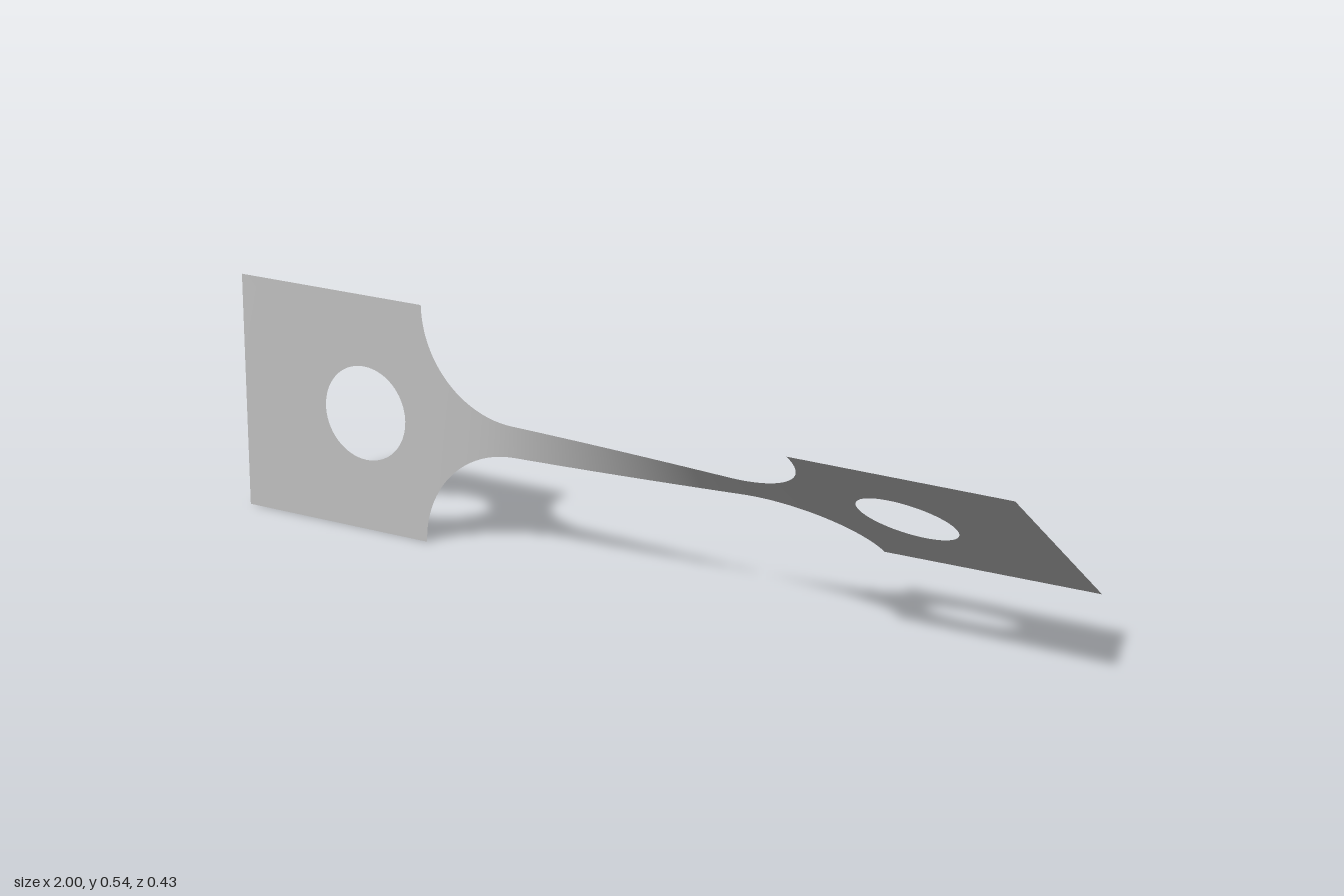
import * as THREE from 'three';

const HALF = 0.271, NECK = 0.037, FILLET = HALF - NECK, SHOULDER = 0.51;
const HOLE_X = 0.668, HOLE_R = 0.108, TWIST = THREE.MathUtils.degToRad(53.3);

// Half-width of the flat plate outline at x
function halfWidth(x) {
  const d = Math.abs(x) - (SHOULDER - FILLET);
  if (d <= 0) return NECK;
  if (d >= FILLET) return HALF;
  return HALF - Math.sqrt(FILLET * FILLET - d * d);
}

// Accumulated twist along x: narrow sections turn far more than wide ones
const STEPS = 2000, turn = [0];
for (let i = 0; i < STEPS; i++) {
  turn.push(turn[i] + 1 / halfWidth(-1 + 2 * (i + 0.5) / STEPS) ** 2);
}
function twistAt(x) {
  const f = THREE.MathUtils.clamp((x + 1) / 2, 0, 1) * STEPS;
  const i = Math.min(Math.floor(f), STEPS - 1);
  return TWIST * THREE.MathUtils.lerp(turn[i], turn[i + 1], f - i) / turn[STEPS];
}

// Grid surface from a flat (x, y) rule, then twisted about the long axis
function sheet(nu, nv, rule) {
  const pos = [], index = [];
  for (let i = 0; i <= nu; i++) {
    for (let j = 0; j <= nv; j++) {
      const [x, y] = rule(i / nu, j / nv), a = twistAt(x);
      pos.push(x, HALF + y * Math.cos(a), y * Math.sin(a));
      if (i < nu && j < nv) {
        const p = i * (nv + 1) + j, q = p + nv + 1;
        index.push(p, q, q + 1, p, q + 1, p + 1);
      }
    }
  }
  const g = new THREE.BufferGeometry();
  g.setAttribute('position', new THREE.Float32BufferAttribute(pos, 3));
  g.setIndex(index);
  g.computeVertexNormals();
  return g;
}

// Rectangular grip with a round hole: rings from the hole out to the edges
function gripGeometry(side) {
  const cx = side * HOLE_X;
  const x0 = side > 0 ? SHOULDER : -1, x1 = side > 0 ? 1 : -SHOULDER;
  const corners = [[x0, -HALF], [x1, -HALF], [x1, HALF], [x0, HALF], [x0, -HALF]];
  return sheet(8, 96, (u, v) => {
    const k = Math.min(Math.floor(v * 4), 3), t = v * 4 - k;
    const ox = THREE.MathUtils.lerp(corners[k][0], corners[k + 1][0], t) - cx;
    const oy = THREE.MathUtils.lerp(corners[k][1], corners[k + 1][1], t);
    const s = THREE.MathUtils.lerp(HOLE_R / Math.hypot(ox, oy), 1, u);
    return [cx + ox * s, oy * s];
  });
}

export function createModel() {
  const group = new THREE.Group();
  group.name = 'twistedTestStrip';
  const metal = new THREE.MeshStandardMaterial({ color: 0xc0c0c0, side: THREE.DoubleSide });
  metal.name = 'plain grey metal';
  const add = (name, geometry) => {
    const mesh = new THREE.Mesh(geometry, metal);
    mesh.name = name;
    group.add(mesh);
  };

  // Straight twisted neck
  const end = SHOULDER - FILLET;
  add('neck', sheet(80, 8, (u, v) => [end * (2 * u - 1), NECK * (2 * v - 1)]));

  // Curved shoulders and holed grips at both ends
  for (const side of [-1, 1]) {
    const label = side > 0 ? 'left' : 'right';
    add(label + 'Shoulder', sheet(32, 12, (u, v) => {
      const a = (side > 0 ? u : 1 - u) * Math.PI / 2;
      const w = HALF - FILLET * Math.cos(a);
      return [side * (end + FILLET * Math.sin(a)), w * (2 * v - 1)];
    }));
    add(label + 'Grip', gripGeometry(side));
  }
  return group;
}
